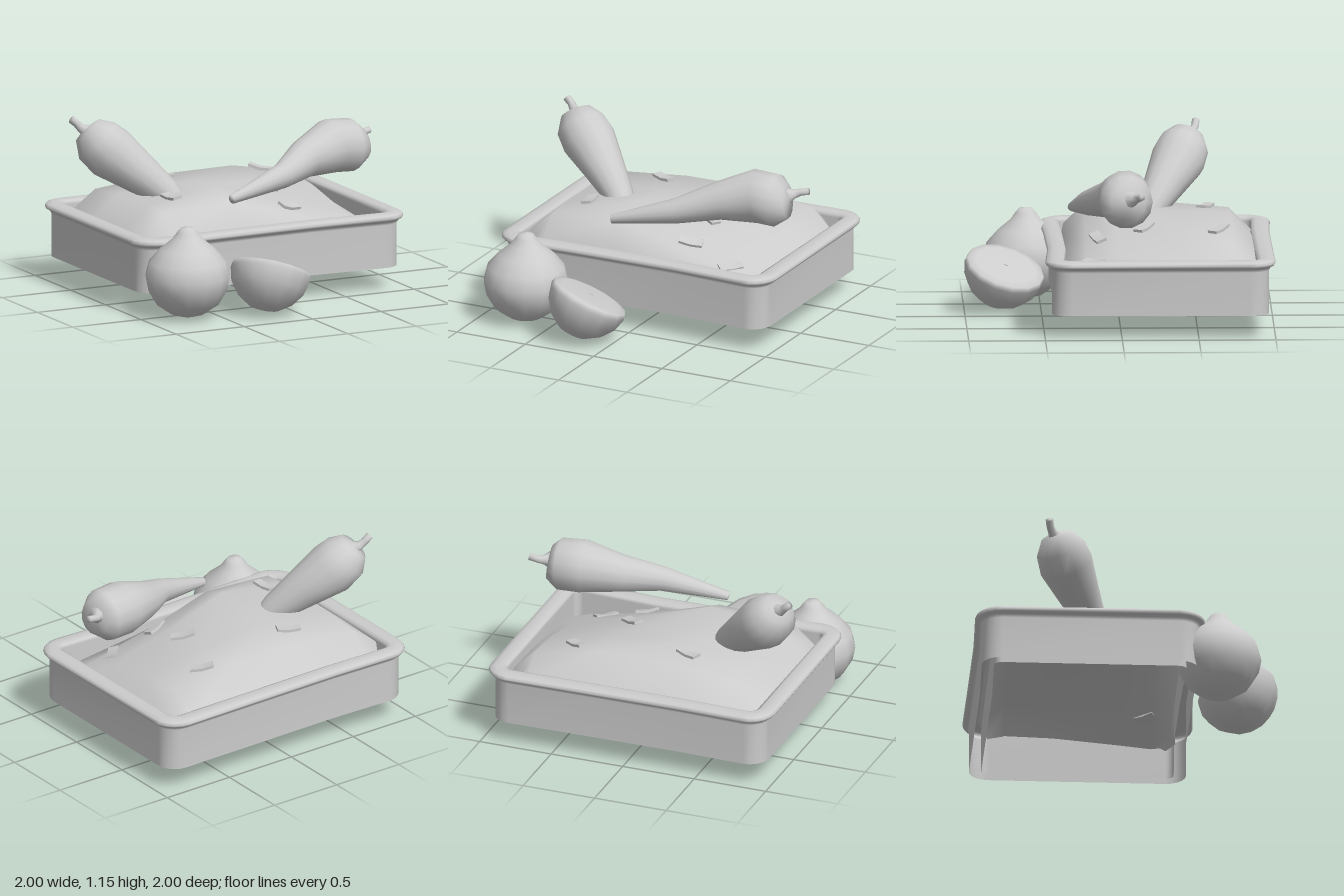
import * as THREE from 'three';

const grey = new THREE.MeshStandardMaterial({ color: 0xcccccc, side: THREE.DoubleSide });
grey.name = 'light grey';

function add(parent, name, geometry) {
  const mesh = new THREE.Mesh(geometry, grey);
  mesh.name = name;
  parent.add(mesh);
  return mesh;
}

// Smooth surface through rows of points; closed joins the end of each row to its start
function surface(rows, closed) {
  const n = rows[0].length, index = [];
  for (let i = 0; i < rows.length - 1; i++)
    for (let j = 0; j < (closed ? n : n - 1); j++) {
      const k = (j + 1) % n, a = i * n + j, b = i * n + k, c = a + n, d = b + n;
      index.push(a, c, b, b, c, d);
    }
  const g = new THREE.BufferGeometry();
  g.setAttribute('position', new THREE.Float32BufferAttribute(rows.flat(2), 3));
  g.setIndex(index);
  g.computeVertexNormals();
  return g;
}

// Round loft along stations [x, y, z, radius]
function loft(stations, sides) {
  const pts = stations.map(s => new THREE.Vector3(s[0], s[1], s[2]));
  const rows = pts.map((p, i) => {
    const t = pts[Math.min(i + 1, pts.length - 1)].clone().sub(pts[Math.max(i - 1, 0)]).normalize();
    const u = new THREE.Vector3(0, 1, 0).cross(t).normalize();
    const v = t.clone().cross(u);
    return Array.from({ length: sides }, (_, j) => {
      const a = -j / sides * Math.PI * 2, r = stations[i][3];
      return p.clone().addScaledVector(u, Math.cos(a) * r).addScaledVector(v, Math.sin(a) * r).toArray();
    });
  });
  return surface(rows, true);
}

// Rounded rectangular ring at height y, pushed out by o, with slightly bowed long sides
function trayRing(o, y) {
  const x0 = -0.955 - o, x1 = 0.948 + o, z0 = -0.96 - o, z1 = 0.455 + o, r = 0.13 + o;
  const corners = [[x1 - r, z1 - r], [x0 + r, z1 - r], [x0 + r, z0 + r], [x1 - r, z0 + r]];
  const ring = [];
  corners.forEach(([cx, cz], q) => {
    for (let k = 0; k <= 5; k++) {
      const a = (q + k / 5) * Math.PI / 2;
      ring.push([cx + Math.cos(a) * r, y, cz + Math.sin(a) * r]);
    }
    if (q === 0) ring.push([0.3, y, z1 - 0.025], [-0.35, y, z1 - 0.015]);
    if (q === 2) ring.push([-0.38, y, z0 + 0.012], [0.3, y, z0 + 0.006]);
  });
  return ring;
}

export function createModel() {
  const model = new THREE.Group();
  model.name = 'foodTray';

  // Bottomless tray: outer wall, flared rim and inner wall
  const profile = [[0, 0.15], [0, 0.435], [0.012, 0.455], [0.034, 0.468], [0.043, 0.483], [0.032, 0.5],
    [0, 0.51], [-0.05, 0.51], [-0.075, 0.5], [-0.08, 0.48], [-0.08, 0.15]];
  add(model, 'tray', surface(profile.map(([o, y]) => trayRing(o, y)), true));

  // Uneven mound of food, falling away to the front right and open underneath
  const xs = [-0.88, -0.7, -0.2, 0.3, 0.72, 0.87];
  const zs = [-0.9, -0.73, -0.4, 0.03, 0.22, 0.345, 0.38];
  const heights = [
    [0.40, 0.43, 0.46, 0.46, 0.44, 0.38],
    [0.47, 0.60, 0.65, 0.655, 0.58, 0.43],
    [0.48, 0.63, 0.66, 0.625, 0.55, 0.42],
    [0.48, 0.64, 0.72, 0.56, 0.46, 0.38],
    [0.46, 0.62, 0.65, 0.50, 0.41, 0.36],
    [0.42, 0.50, 0.50, 0.42, 0.37, 0.34],
    [0.38, 0.35, 0.30, 0.33, 0.33, 0.32]];
  const last = zs.length - 1;
  const mound = zs.map((z, i) => xs.map((x, j) => {
    const nearEnd = i === 0 || i >= last - 1, side = j === 0 || j === 5;
    if (nearEnd && side) return [x * 0.93, heights[i][j], z + (i ? -0.06 : 0.06)];
    return [x, heights[i][j], i === last && j === 3 ? 0.35 : z];
  }));
  add(model, 'foodMound', surface(mound, false));

  // Small chopped pieces: x, y, z, turn, slope along x, slope along z
  const chips = [[-0.29, 0.672, -0.57, -0.42, 0.02, 0.02], [0.46, 0.64, -0.64, -0.6, -0.17, -0.1],
    [0.26, 0.62, -0.16, -0.6, -0.2, -0.12], [-0.53, 0.672, 0.02, -1.45, 0.14, 0],
    [0.58, 0.445, 0.18, 0.8, -0.2, -0.25], [0.27, 0.555, 0.14, 0.3, -0.3, -0.3]];
  const up = new THREE.Vector3(0, 1, 0);
  for (const [x, y, z, turn, sx, sz] of chips) {
    const g = new THREE.BoxGeometry(0.155, 0.018, 0.068, 2, 1, 1);
    const p = g.attributes.position;
    for (let i = 0; i < p.count; i++) p.setY(i, p.getY(i) + Math.abs(p.getX(i)) * 0.12);
    g.computeVertexNormals();
    const chip = add(model, 'choppedPiece', g);
    chip.position.set(x, y, z);
    chip.quaternion.setFromUnitVectors(up, new THREE.Vector3(-sx, 1, -sz).normalize());
    chip.rotateY(turn);
  }

  // Long pepper lying across the tray
  const longPepper = new THREE.Group();
  longPepper.name = 'longPepper';
  model.add(longPepper);
  add(longPepper, 'longPepperBody', loft([[-0.236, 0.682, 0.3, 0], [-0.23, 0.683, 0.298, 0.03],
    [0.19, 0.778, 0.2, 0.083], [0.42, 0.84, 0.06, 0.125], [0.66, 0.888, -0.025, 0.178],
    [0.81, 0.88, -0.03, 0.174], [0.885, 0.885, -0.04, 0.115], [0.892, 0.89, -0.045, 0]], 14));
  add(longPepper, 'longPepperStem', loft([[0.87, 0.91, -0.06, 0.06], [0.9, 0.92, -0.09, 0.035],
    [0.94, 0.93, -0.12, 0.024], [0.995, 0.942, -0.125, 0.024], [0.996, 0.942, -0.125, 0]], 8));

  // Pepper standing in the food, its cut tip open below the mound
  const standingPepper = new THREE.Group();
  standingPepper.name = 'standingPepper';
  model.add(standingPepper);
  add(standingPepper, 'standingPepperBody', loft([[-0.9, 1.075, -0.485, 0], [-0.885, 1.06, -0.475, 0.105],
    [-0.835, 0.99, -0.445, 0.165], [-0.755, 0.91, -0.405, 0.178], [-0.6, 0.78, -0.315, 0.138],
    [-0.45, 0.65, -0.225, 0.1], [-0.37, 0.53, -0.17, 0.085]], 14));
  add(standingPepper, 'standingPepperStem', loft([[-0.88, 1.05, -0.48, 0.05], [-0.92, 1.07, -0.505, 0.03],
    [-0.945, 1.1, -0.52, 0.025], [-0.98, 1.13, -0.525, 0.026], [-0.981, 1.131, -0.525, 0]], 8));

  // Whole onion with a pinched top
  const onionProfile = [[0, 0], [0.11, 0.03], [0.205, 0.095], [0.262, 0.19], [0.28, 0.28], [0.255, 0.375],
    [0.18, 0.46], [0.1, 0.525], [0.068, 0.57], [0.045, 0.598], [0, 0.606]].map(p => new THREE.Vector2(...p));
  add(model, 'wholeOnion', new THREE.LatheGeometry(onionProfile, 14)).position.set(-0.705, 0, 0.59);

  // Half onion with a tilted cut face and a tiny core
  const half = new THREE.Group();
  half.name = 'halfOnion';
  const halfProfile = [[0, -0.285], [0.1, -0.267], [0.185, -0.208], [0.245, -0.125], [0.268, -0.035],
    [0.258, 0], [0.205, 0.012], [0, 0.012]].map(p => new THREE.Vector2(...p));
  add(half, 'halfOnionBody', new THREE.LatheGeometry(halfProfile, 14));
  add(half, 'halfOnionCore', new THREE.CylinderGeometry(0.012, 0.012, 0.008, 8)).position.y = 0.012;
  half.position.set(-0.163, 0.303, 0.732);
  half.quaternion.setFromUnitVectors(up, new THREE.Vector3(0.4, 1, -0.3).normalize());
  model.add(half);

  return model;
}
